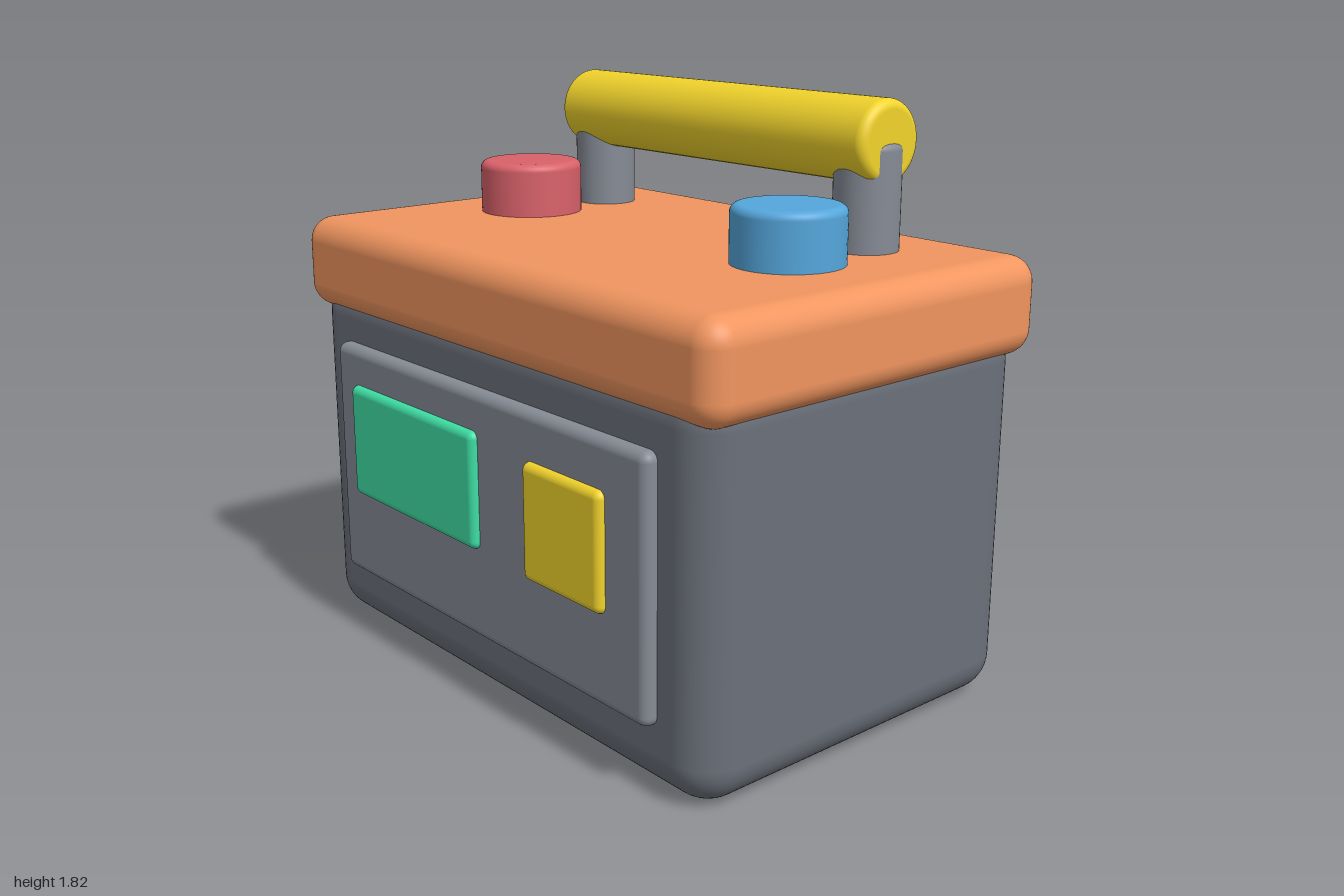
import * as THREE from 'three';
import { RoundedBoxGeometry } from 'three/addons/geometries/RoundedBoxGeometry.js';

const paint = (color) => new THREE.MeshStandardMaterial({ color });

// Rounded box given by its extents on each axis
function roundedBox(name, [x0, x1], [y0, y1], [z0, z1], radius, material) {
  const geometry = new RoundedBoxGeometry(x1 - x0, y1 - y0, z1 - z0, 6, radius);
  const mesh = new THREE.Mesh(geometry, material);
  mesh.position.set((x0 + x1) / 2, (y0 + y1) / 2, (z0 + z1) / 2);
  mesh.name = name;
  return mesh;
}

// Upright cylinder, centred on its origin, with softly rounded rims
function roundedCylinder(name, radius, height, bevel, material) {
  const shape = new THREE.Path();
  const h = height / 2;
  shape.absarc(radius - bevel, -h + bevel, bevel, -Math.PI / 2, 0, false);
  shape.absarc(radius - bevel, h - bevel, bevel, 0, Math.PI / 2, false);
  const profile = [new THREE.Vector2(0, -h), ...shape.getPoints(6), new THREE.Vector2(0, h)];
  const mesh = new THREE.Mesh(new THREE.LatheGeometry(profile, 48), material);
  mesh.name = name;
  return mesh;
}

export function createModel() {
  const model = new THREE.Group();
  model.name = 'battery';

  const darkGrey = paint(0x6b707a);
  const lightGrey = paint(0x868b95);
  const orange = paint(0xf0955f);
  const yellow = paint(0xf2d42c);
  const green = paint(0x3fe0a6);
  const red = paint(0xd9626a);
  const blue = paint(0x55a6dc);

  // Case and overhanging lid
  model.add(roundedBox('case', [-0.967, 0.967], [0.005, 1.2], [-0.65, 0.61], 0.13, darkGrey));
  model.add(roundedBox('lid', [-1, 1], [1.083, 1.38], [-0.675, 0.632], 0.08, orange));

  // Front panel with its label and indicator
  model.add(roundedBox('frontPanel', [-0.777, 0.777], [0.22, 0.997], [0.55, 0.652], 0.03, lightGrey));
  model.add(roundedBox('label', [-0.665, 0.022], [0.51, 0.878], [0.6, 0.675], 0.025, green));
  model.add(roundedBox('indicator', [0.26, 0.612], [0.5, 0.855], [0.6, 0.675], 0.025, yellow));

  // Terminals and handle posts on both sides
  for (const side of [-1, 1]) {
    const prefix = side > 0 ? 'left' : 'right';
    const terminal = roundedCylinder(prefix + 'Terminal', 0.167, 0.25, 0.025, side > 0 ? blue : red);
    terminal.position.set(side * 0.605, 1.425, -0.02);
    const post = roundedCylinder(prefix + 'HandlePost', 0.1, 0.4, 0.025, lightGrey);
    post.position.set(side * 0.605, 1.5, -0.341);
    model.add(terminal, post);
  }

  // Carrying handle
  const handle = roundedCylinder('handle', 0.125, 1.385, 0.03, yellow);
  handle.rotation.z = Math.PI / 2;
  handle.position.set(0, 1.7, -0.341);
  model.add(handle);

  return model;
}
